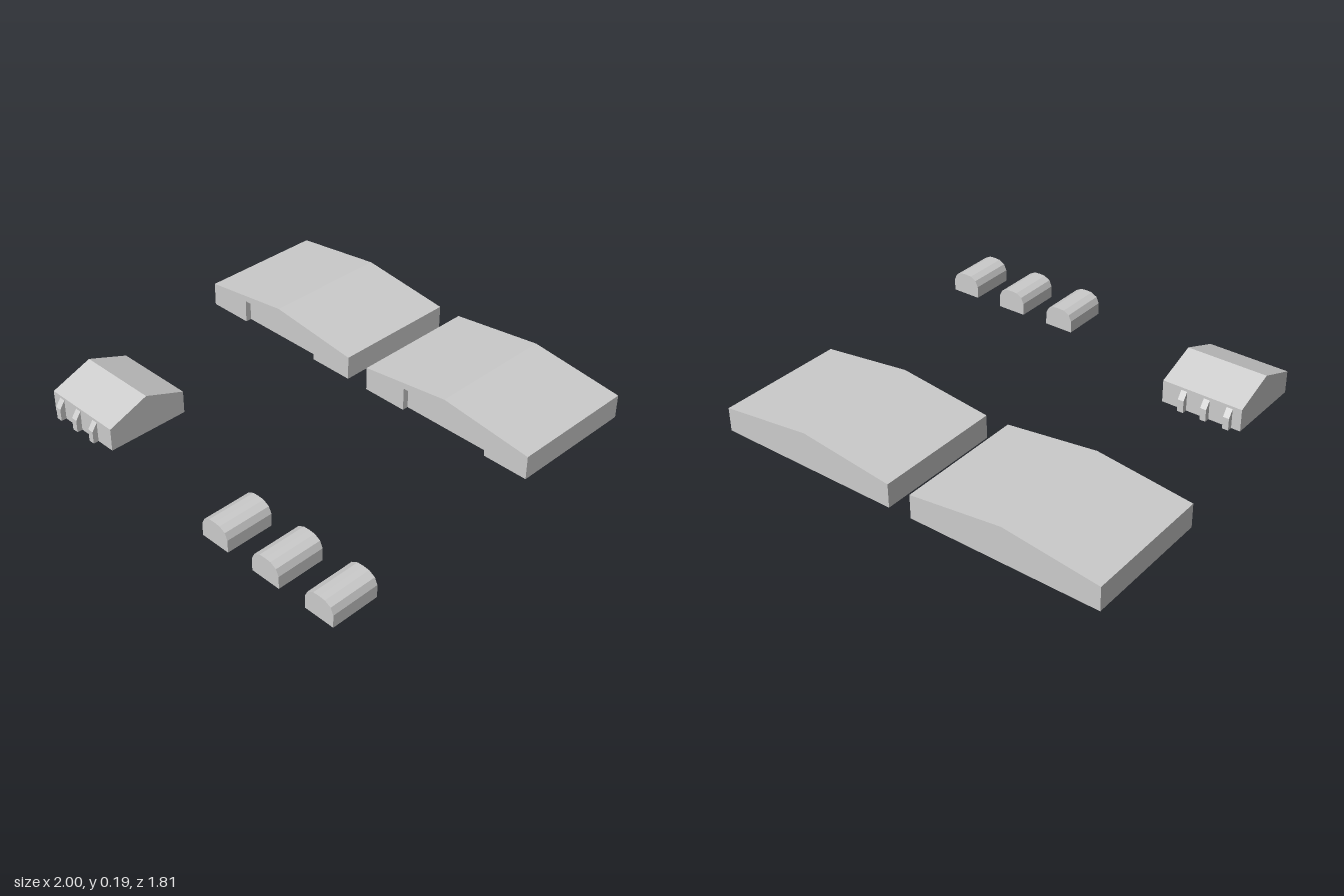
import * as THREE from 'three';

const material = new THREE.MeshStandardMaterial({ color: 0xcccccc, flatShading: true, side: THREE.DoubleSide });

function addMesh(parent, name, geometry) {
  const mesh = new THREE.Mesh(geometry, material);
  mesh.name = name;
  parent.add(mesh);
  return mesh;
}

// Sweeps an open profile [x, y] along z; faces look to the right of its direction
function strip(profile, z0, z1) {
  const pos = [];
  for (let i = 0; i < profile.length - 1; i++) {
    const [ax, ay] = profile[i], [bx, by] = profile[i + 1];
    pos.push(ax, ay, z1, ax, ay, z0, bx, by, z0, ax, ay, z1, bx, by, z0, bx, by, z1);
  }
  const geometry = new THREE.BufferGeometry();
  geometry.setAttribute('position', new THREE.Float32BufferAttribute(pos, 3));
  geometry.computeVertexNormals();
  return geometry;
}

const flatShape = (points) =>
  new THREE.ShapeGeometry(new THREE.Shape(points.map(([x, y]) => new THREE.Vector2(x, y))));

// Completes a right-hand half profile with its mirror image
function mirrored(half) {
  const left = half.filter(([x]) => x > 0).map(([x, y]) => [-x, y]).reverse();
  return [...half, ...left];
}

// Building shell, open underneath; the front wall may have its own outline
function shell(name, half, length, frontOutline) {
  const group = new THREE.Group();
  group.name = name;
  const profile = mirrored(half);
  addMesh(group, 'wallsAndRoof', strip(profile, -length / 2, length / 2));
  addMesh(group, 'frontWall', flatShape(frontOutline || profile).translate(0, 0, length / 2));
  addMesh(group, 'backWall', flatShape(profile).rotateY(Math.PI).translate(0, 0, -length / 2));
  return group;
}

// Wide gabled hangar with a recessed door
function hangar() {
  const w = 0.4575, length = 0.625, eave = 0.115, ridge = 0.172;
  const d = 0.2325, doorTop = 0.114, depth = 0.03;
  const notch = [[-d, 0], [-d, doorTop], [d, doorTop], [d, 0]];
  const front = [...notch, [w, 0], [w, eave], [0, ridge], [-w, eave], [-w, 0]];
  const group = shell('hangar', [[w, 0], [w, eave], [0, ridge]], length, front);
  addMesh(group, 'doorFrame', strip(notch, length / 2 - depth, length / 2));
  addMesh(group, 'door', new THREE.PlaneGeometry(2 * d, doorTop)
    .translate(0, doorTop / 2, length / 2 - depth));
  return group;
}

// Small gabled house with three buttresses on each long side
function house() {
  const group = new THREE.Group();
  group.name = 'house';
  const body = shell('houseBody', [[0.2, 0], [0.2, 0.11], [0, 0.185]], 0.4);
  body.rotation.y = Math.PI / 2;
  group.add(body);
  const width = 0.03;
  const buttress = new THREE.ExtrudeGeometry(
    new THREE.Shape([[0, 0], [0.026, 0], [0.026, 0.06], [0, 0.097]].map(([x, y]) => new THREE.Vector2(x, y))),
    { depth: width, bevelEnabled: false }
  ).translate(0.2, 0, -width / 2);
  for (const side of [1, -1]) {
    for (const x of [-0.14, -0.025, 0.09]) {
      const mesh = addMesh(group, 'buttress', buttress);
      mesh.rotation.y = -side * Math.PI / 2;
      mesh.position.x = x;
    }
  }
  return group;
}

// Round-topped hut
function hut() {
  return shell('hut', [[0.074, 0], [0.074, 0.06], [0.06, 0.09], [0.03, 0.106], [0, 0.108]], 0.232);
}

export function createModel() {
  const model = new THREE.Group();
  model.name = 'airfieldBuildings';
  const place = (part, x, z) => {
    part.position.set(x, 0, z);
    model.add(part);
  };
  for (const x of [-0.5425, 0.4875]) place(hangar(), x, -0.5925);
  place(house(), -0.61, 0.62);
  for (const x of [0.349, 0.637, 0.926]) place(hut(), x, 0.786);
  return model;
}
